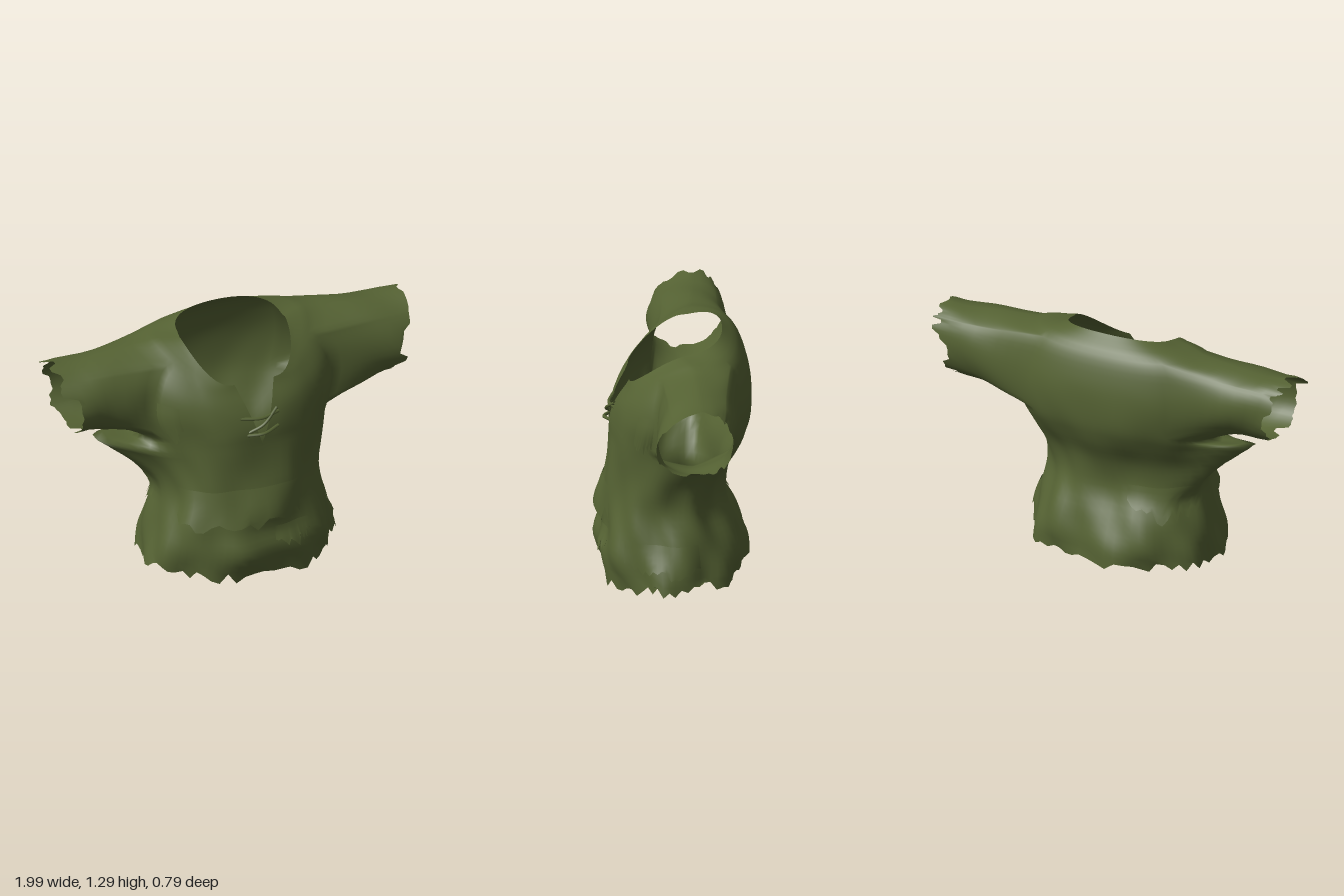
import * as THREE from 'three';
import { mergeVertices } from 'three/addons/utils/BufferGeometryUtils.js';

const cloth = new THREE.MeshStandardMaterial({ color: 0x556233, side: THREE.DoubleSide });
cloth.name = 'olive cloth';

// Small seeded noise in -1..1
const noise = (n) => {
  const s = Math.sin(n * 127.1 + 11.7) * 43758.5453;
  return (s - Math.floor(s)) * 2 - 1;
};

// Cross-sections from hem to neck: half width, side y, centre z, front y, front z, back y, back z
const sections = [
  [0.51, 0.07, 0.00, 0.045, 0.345, 0.08, -0.355],
  [0.49, 0.18, 0.00, 0.18, 0.39, 0.18, -0.36],
  [0.46, 0.30, 0.01, 0.30, 0.38, 0.30, -0.325],
  [0.42, 0.45, 0.02, 0.45, 0.355, 0.45, -0.265],
  [0.435, 0.57, 0.00, 0.60, 0.33, 0.60, -0.28],
  [0.475, 0.68, -0.05, 0.74, 0.32, 0.74, -0.35],
  [0.51, 0.755, -0.09, 0.83, 0.315, 0.85, -0.39],
  [0.56, 0.93, -0.10, 0.91, 0.295, 0.98, -0.398],
  [0.54, 1.11, -0.10, 0.97, 0.27, 1.10, -0.38],
  [0.46, 1.235, -0.11, 1.03, 0.235, 1.22, -0.335],
  [0.28, 1.25, -0.05, 1.065, 0.218, 1.30, -0.25],
];
const curve = (f) => new THREE.CatmullRomCurve3(sections.map((s) => new THREE.Vector3(...f(s))), false, 'catmullrom', 0.5);
const side = curve((s) => [s[0], s[1], s[2]]);
const front = curve((s) => [0, s[3], s[4]]);
const back = curve((s) => [0, s[5], s[6]]);

const COLS = 72, ROWS = 40;
const HOLE_LOW = 24, HOLE_HIGH = 36;
// Column range, cuff height, cuff radius and taper of the right and left sleeves
const sleeves = [
  { sign: -1, p: 12, q: 27, cy: 1.03, ry: 0.18, taper: 2.4 },
  { sign: 1, p: 45, q: 60, cy: 1.015, ry: 0.192, taper: 1.4 },
];

// Point on the torso; column 0 is the front centre, row 0 the hem
function torsoPoint(col, row, outset = 0) {
  const a = Math.PI / 2 + (col / COLS) * Math.PI * 2;
  const c = Math.cos(a), s = Math.sin(a), v = row / ROWS;
  const m = side.getPoint(v), e = (s > 0 ? front : back).getPoint(v);
  const k = Math.abs(s);
  let x = m.x * Math.sign(c) * Math.pow(Math.abs(c), 0.9);
  let y = m.y + (e.y - m.y) * Math.pow(k, s > 0 ? 1.5 : 0.75);
  let z = m.z + (e.z - m.z) * Math.pow(k, s > 0 ? 1.05 : 0.95 - 0.28 * v);

  // Soft diagonal creases, strongest around the waist and hem
  const fade = Math.max(0, 1 - v * 1.3);
  const crease = 0.014 * fade * Math.sin(7 * a + 9 * y) + 0.008 * fade * Math.sin(13 * a - 14 * y);

  // Loose fold drawn out below the right sleeve, running down towards the back
  const ridge = Math.PI * (1.02 + 0.02 * Math.max(0, 20 - row));
  const around = Math.exp(-Math.pow((a - ridge) / 0.32, 2));
  const pull = row <= 20 ? Math.max(0, (row - 11) / 9) : Math.max(0, (24 - row) / 4);
  const swell = 0.022 * around * Math.min(1, Math.max(0, 24 - row) / 6);
  x += c * (crease + outset + swell) - 0.26 * around * pull;
  y += 0.09 * around * pull;
  z += s * (crease + outset + swell);

  // Sunken cloth under the torn front fold
  if (s > 0) z -= 0.04 * Math.exp(-Math.pow(x / 0.16, 2) - Math.pow((y - 0.28) / 0.09, 2));

  // Neck slit
  const gap = Math.max(0, Math.min(1, (y - 0.76) / 0.31)) * 0.11;
  if (s > 0 && Math.abs(x) < 0.3 && gap > 0) {
    const sign = col < COLS / 2 ? -1 : 1;
    x = sign * (gap + Math.abs(x) * (1 - gap / 0.3));
  }

  // Ragged hem
  if (row === 0) y += noise(col % COLS) * 0.032 - (s > 0.5 ? 0.01 : 0);
  return [x, y, z];
}

function toMesh(name, positions, index) {
  let g = new THREE.BufferGeometry();
  g.setAttribute('position', new THREE.Float32BufferAttribute(positions, 3));
  g.setIndex(index);
  g = mergeVertices(g, 1e-4);
  g.computeVertexNormals();
  const mesh = new THREE.Mesh(g, cloth);
  mesh.name = name;
  return mesh;
}

// Torso and sleeves in one continuous shell
function makeShirt() {
  const pos = [], index = [];
  const id = (i, j) => j * (COLS + 1) + i;
  for (let j = 0; j <= ROWS; j++)
    for (let i = 0; i <= COLS; i++) pos.push(...torsoPoint(i, j));

  for (let j = 0; j < ROWS; j++)
    for (let i = 0; i < COLS; i++) {
      if (j >= HOLE_LOW && j < HOLE_HIGH && sleeves.some(({ p, q }) => i >= p && i < q)) continue;
      const a = id(i, j), b = id(i + 1, j), c = id(i + 1, j + 1), d = id(i, j + 1);
      index.push(a, c, b, a, d, c);
    }

  // Sleeves: loft each armhole edge out to a ragged round cuff
  for (const { sign, p, q, cy, ry, taper } of sleeves) {
    const edge = [];
    for (let i = p; i < q; i++) edge.push(id(i, HOLE_LOW));
    for (let j = HOLE_LOW; j < HOLE_HIGH; j++) edge.push(id(q, j));
    for (let i = q; i > p; i--) edge.push(id(i, HOLE_HIGH));
    for (let j = HOLE_HIGH; j > HOLE_LOW; j--) edge.push(id(p, j));
    const STEPS = 8, L = edge.length;
    let previous = edge;
    for (let t = 1; t <= STEPS; t++) {
      const u = t / STEPS, w = 1 - Math.pow(1 - u, taper);
      const ring = edge.map((v, k) => {
        const [bx, by, bz] = pos.slice(v * 3, v * 3 + 3);
        const f = Math.atan2((by - 1.0) / 0.22, (bz + 0.09) / 0.21);
        const jag = t === STEPS ? noise(Math.floor(k / 2) + sign * 25 + 32) * 0.04 : 0;
        const cx = sign * (0.91 + 0.06 * Math.sin(f) + jag);
        const y = cy + ry * Math.sin(f);
        const z = -0.093 + 0.19 * Math.cos(f) - 0.025 * Math.sin(f);
        const ripple = 0.007 * Math.sin(3 * f + 9 * u) * u;
        pos.push(bx + (cx - bx) * u, by + (y - by) * w + ripple * Math.sin(f), bz + (z - bz) * w + ripple * Math.cos(f));
        return pos.length / 3 - 1;
      });
      for (let k = 0; k < L; k++) {
        const m = (k + 1) % L;
        index.push(previous[m], previous[k], ring[k], previous[m], ring[k], ring[m]);
      }
      previous = ring;
    }
  }
  return toMesh('shirt', pos, index);
}

// Ragged layer lying on the torso, standing away at its lower edge
function makeLayer(name, col0, col1, rowTop, rowLow, lift, seed) {
  const pos = [], index = [], W = 18, H = 5;
  for (let j = 0; j <= H; j++)
    for (let i = 0; i <= W; i++) {
      const u = i / W, v = j / H;
      const rag = v * v * (noise(seed + i) * 1.1 - 1.5 * Math.sin(Math.PI * u) + 1.5);
      const col = (col0 + (col1 - col0) * u + COLS) % COLS;
      pos.push(...torsoPoint(col, rowTop + (rowLow - rowTop) * v + rag, 0.003 + lift * v * Math.sin(Math.PI * u)));
    }
  for (let j = 0; j < H; j++)
    for (let i = 0; i < W; i++) {
      const a = j * (W + 1) + i, d = a + W + 1;
      index.push(a, a + 1, d + 1, a, d + 1, d);
    }
  return toMesh(name, pos, index);
}

// Cord through a few points
function makeCord(name, points, radius) {
  const path = new THREE.CatmullRomCurve3(points.map((p) => new THREE.Vector3(...p)));
  const mesh = new THREE.Mesh(new THREE.TubeGeometry(path, 12, radius, 6), cloth);
  mesh.name = name;
  return mesh;
}

export function createModel() {
  const model = new THREE.Group();
  model.name = 'tornShirt';
  model.add(makeShirt());

  // Torn layers across the belly, hip, back and armpits
  model.add(makeLayer('frontFold', -5, 13, 14, 8.5, 0.035, 3));
  model.add(makeLayer('bellyTear', 66, 71, 8, 4.5, 0.012, 22));
  model.add(makeLayer('hipFold', 50, 62, 8, 3, 0.012, 40));
  model.add(makeLayer('backFold', 20, 33, 13, 9, 0.012, 70));
  model.add(makeLayer('rightArmpitFold', 8.5, 11.5, 30, 24, 0.012, 90));
  model.add(makeLayer('leftArmpitFold', 60.5, 63.5, 30, 24, 0.012, 110));

  // Lacing over the neck slit
  const laces = new THREE.Group();
  laces.name = 'laces';
  laces.add(makeCord('upperLace', [[-0.11, 0.905, 0.29], [0, 0.9, 0.315], [0.1, 0.91, 0.29]], 0.009));
  laces.add(makeCord('lowerLace', [[-0.08, 0.815, 0.31], [0, 0.825, 0.34], [0.09, 0.84, 0.31]], 0.009));
  laces.add(makeCord('crossLace', [[-0.07, 0.83, 0.31], [0, 0.87, 0.33], [0.09, 0.93, 0.29]], 0.008));
  model.add(laces);
  return model;
}
